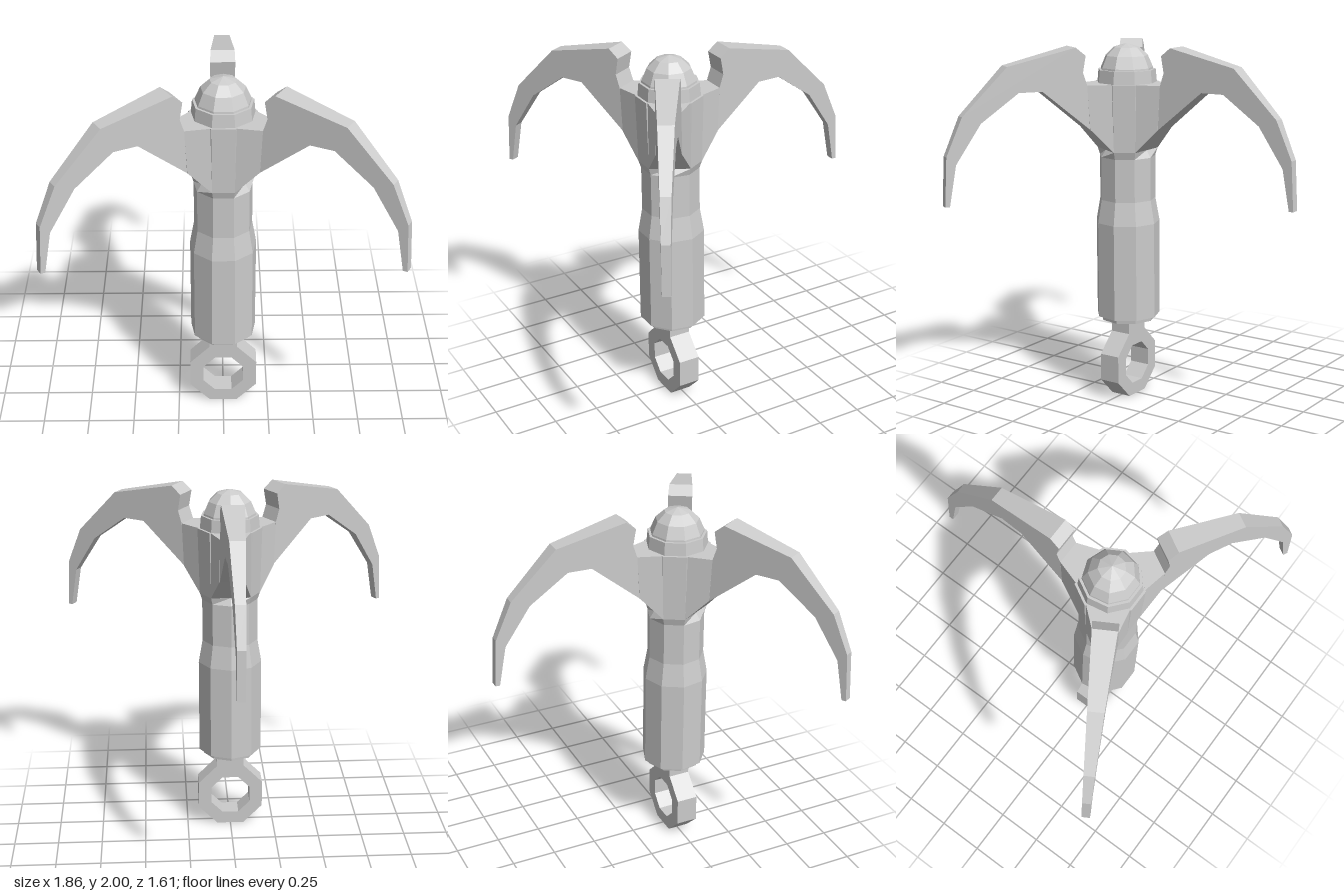
import * as THREE from 'three';

const material = new THREE.MeshStandardMaterial({ color: 0xcccccc, flatShading: true, side: THREE.DoubleSide });
const SIDES = 9;
const AXIS_Z = 0.256;

function mesh(name, geometry) {
  const m = new THREE.Mesh(geometry, material);
  m.name = name;
  return m;
}

// Nine-sided column through rings [y, radius, radius of the corners facing the hooks]; ends are capped.
function column(rings) {
  const pos = [], index = [];
  const addRing = ([y, r, hookR = r]) => {
    for (let i = 0; i < SIDES; i++) {
      const a = Math.PI + (i * 2 * Math.PI) / SIDES;
      const R = i % 3 === 0 ? hookR : r;
      pos.push(R * Math.sin(a), y, R * Math.cos(a));
    }
  };
  const first = rings[0], last = rings[rings.length - 1];
  const all = [[first[0], 0], ...rings, [last[0], 0]];
  all.forEach(addRing);
  for (let k = 0; k < all.length - 1; k++) {
    for (let i = 0; i < SIDES; i++) {
      const a = k * SIDES + i, b = k * SIDES + ((i + 1) % SIDES);
      const c = a + SIDES, d = b + SIDES;
      if (all[k][1] > 0) index.push(a, b, d);
      if (all[k + 1][1] > 0) index.push(a, d, c);
    }
  }
  const g = new THREE.BufferGeometry();
  g.setAttribute('position', new THREE.Float32BufferAttribute(pos, 3));
  g.setIndex(index);
  const flat = g.toNonIndexed();
  flat.computeVertexNormals();
  return flat;
}

// Side profile (radius, y) given thickness, with a half width that depends on the radius.
function taperedSlab(points, halfWidth) {
  const shape = new THREE.Shape(points.map(([x, y]) => new THREE.Vector2(x, y)));
  const g = new THREE.ExtrudeGeometry(shape, { depth: 1, bevelEnabled: false });
  const p = g.attributes.position;
  for (let i = 0; i < p.count; i++) {
    p.setZ(i, (p.getZ(i) > 0.5 ? 1 : -1) * halfWidth(p.getX(i)));
  }
  g.computeVertexNormals();
  return g;
}

function octagon(Type, apothem, cy) {
  const path = new Type();
  const R = apothem / Math.cos(Math.PI / 8);
  for (let i = 0; i < 8; i++) {
    const a = Math.PI / 8 + (i * Math.PI) / 4;
    const x = R * Math.cos(a), y = cy + R * Math.sin(a);
    if (i === 0) path.moveTo(x, y);
    else path.lineTo(x, y);
  }
  path.closePath();
  return path;
}

export function createModel() {
  const model = new THREE.Group();
  model.name = 'grapplingHook';
  const body = new THREE.Group();
  body.name = 'body';
  body.position.z = AXIS_Z;
  model.add(body);

  // Handle, and the core the hooks grow out of
  body.add(mesh('shaft', column([
    [0.445, 0.155], [0.47, 0.158], [0.47, 0.18], [1.01, 0.18],
    [1.14, 0.157], [1.38, 0.157], [1.42, 0.17, 0.13], [1.79, 0.18, 0.138],
  ])));

  // Domed cap on its collar
  body.add(mesh('collar', column([[1.785, 0.167], [1.86, 0.16]])));
  body.add(mesh('dome', column([
    [1.855, 0.147], [1.87, 0.145], [1.935, 0.117], [1.98, 0.07], [2.0, 0],
  ])));

  // Three hooks: a flared root and a curved, tapering claw
  const rootGeometry = taperedSlab(
    [[0.13, 1.42], [0.25, 1.55], [0.263, 1.79], [0.138, 1.79]],
    (r) => THREE.MathUtils.mapLinear(r, 0.13, 0.26, 0.11, 0.066));
  const clawGeometry = taperedSlab([
    [0.25, 1.55], [0.515, 1.77], [0.645, 1.77], [0.855, 1.62], [0.995, 1.41], [1.06, 1.19],
    [1.045, 1.455], [0.955, 1.66], [0.705, 1.91], [0.325, 1.995],
    [0.27, 1.95], [0.286, 1.86], [0.263, 1.79],
  ].flatMap((p, i) => (i === 5 ? [[1.035, 1.19], p] : [p])),
  (r) => THREE.MathUtils.mapLinear(r, 0.26, 1.06, 0.066, 0.022));
  for (let i = 0; i < 3; i++) {
    const hook = new THREE.Group();
    hook.name = 'hook' + (i + 1);
    hook.add(mesh('hookRoot', rootGeometry), mesh('claw', clawGeometry));
    hook.rotation.y = Math.PI / 2 + (i * 2 * Math.PI) / 3;
    body.add(hook);
  }

  // Rope eye with its stem
  const depth = 0.12;
  const eye = octagon(THREE.Shape, 0.185, 0.185);
  eye.holes.push(octagon(THREE.Path, 0.112, 0.183));
  const eyeGeometry = new THREE.ExtrudeGeometry(eye, { depth, bevelEnabled: false });
  eyeGeometry.translate(0, 0, -depth / 2);
  body.add(mesh('ropeEye', eyeGeometry));
  const stem = mesh('eyeStem', new THREE.BoxGeometry(0.153, 0.09, depth));
  stem.position.y = 0.37 + 0.045;
  body.add(stem);

  return model;
}
